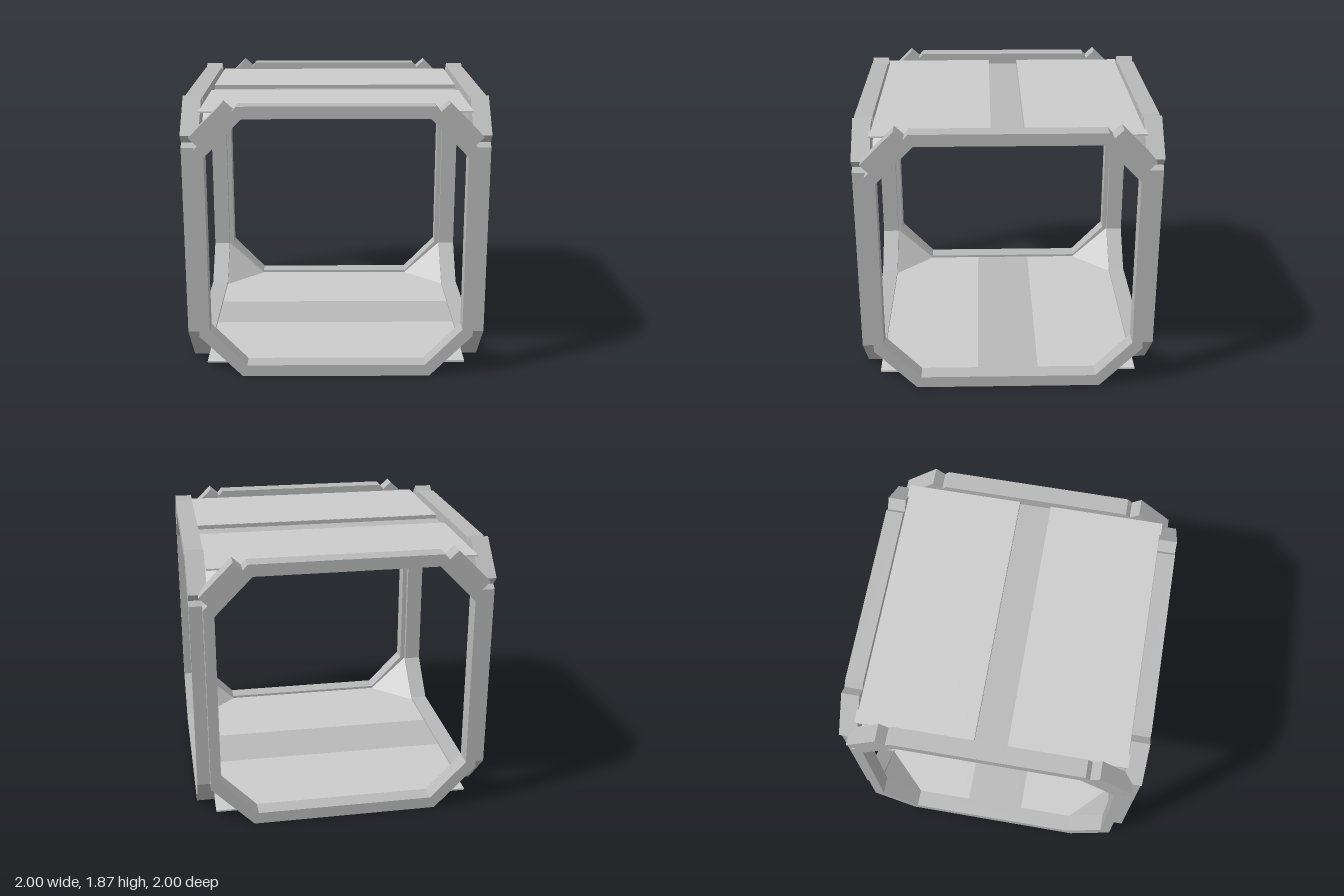
import * as THREE from 'three';

const material = (color) => new THREE.MeshStandardMaterial({ color, flatShading: true, side: THREE.DoubleSide });

export function createModel() {
  const model = new THREE.Group();
  const frameGrey = material(0xb8b8b8);
  const panelGrey = material(0xcccccc);

  const add = (parent, name, geometry, mat) => {
    const mesh = new THREE.Mesh(geometry, mat);
    mesh.name = name;
    parent.add(mesh);
    return mesh;
  };
  // Mirrors a right-hand outline (bottom to top) into a closed loop
  const mirrored = (half) => [...half, ...half.map(([x, y]) => [-x, y]).reverse()]
    .map(([x, y]) => new THREE.Vector2(x, y));

  // Octagonal side frame with proud blocks on the upper chamfers
  const outline = new THREE.Shape(mirrored([
    [0.63, 0], [0.915, 0.29], [0.915, 1.565], [0.885, 1.595],
    [0.94, 1.65], [0.72, 1.87], [0.66, 1.815], [0.63, 1.85],
  ]));
  outline.holes.push(new THREE.Path(mirrored([
    [0.6, 0.08], [0.845, 0.335], [0.845, 1.52], [0.6, 1.77],
  ])));
  const frameGeometry = new THREE.ExtrudeGeometry(outline, { depth: 0.12, bevelEnabled: false });
  frameGeometry.translate(0, 0, 0.88);
  ['frontFrame', 'leftFrame', 'backFrame', 'rightFrame'].forEach((name, i) => {
    add(model, name, frameGeometry, frameGrey).rotation.y = i * Math.PI / 2;
  });

  // Thin slab spanning the width, between two depths and two heights
  const slab = (parent, name, z0, z1, y0, y1, mat) => {
    const geometry = new THREE.BoxGeometry(1.76, y1 - y0, z1 - z0);
    geometry.translate(0, (y0 + y1) / 2, (z0 + z1) / 2);
    return add(parent, name, geometry, mat);
  };

  // Floor with a flush central strip
  const floor = new THREE.Group();
  floor.name = 'floor';
  slab(floor, 'floorPanelBack', -0.89, -0.21, 0.05, 0.062, panelGrey);
  slab(floor, 'floorPanelFront', 0.21, 0.89, 0.05, 0.062, panelGrey);
  slab(floor, 'floorStrip', -0.21, 0.21, 0.05, 0.062, frameGrey);
  model.add(floor);

  // Roof with a recessed central channel
  const roof = new THREE.Group();
  roof.name = 'roof';
  slab(roof, 'roofPanelBack', -0.89, -0.11, 1.788, 1.8, panelGrey);
  slab(roof, 'roofPanelFront', 0.11, 0.89, 1.788, 1.8, panelGrey);
  slab(roof, 'roofChannel', -0.11, 0.11, 1.762, 1.772, frameGrey);
  for (const s of [-1, 1]) {
    slab(roof, 'channelWall', s * 0.11 - 0.004, s * 0.11 + 0.004, 1.762, 1.799, frameGrey);
  }
  model.add(roof);

  // Triangular gussets closing the eight inner corners
  for (const [level, apexY, baseY] of [['lower', 0.335, 0.06], ['upper', 1.52, 1.79]]) {
    for (const sx of [-1, 1]) {
      for (const sz of [-1, 1]) {
        const corners = [
          [sx * 0.885, apexY, sz * 0.885],
          [sx * 0.59, baseY, sz * 0.885],
          [sx * 0.885, baseY, sz * 0.59],
        ];
        // Keep every triangle facing the inside
        const inward = (level === 'lower' ? 1 : -1) * sx * sz > 0;
        if (!inward) corners.reverse();
        const geometry = new THREE.BufferGeometry();
        geometry.setAttribute('position', new THREE.Float32BufferAttribute(corners.flat(), 3));
        geometry.computeVertexNormals();
        add(model, level + 'Gusset', geometry, panelGrey);
      }
    }
  }
  return model;
}
